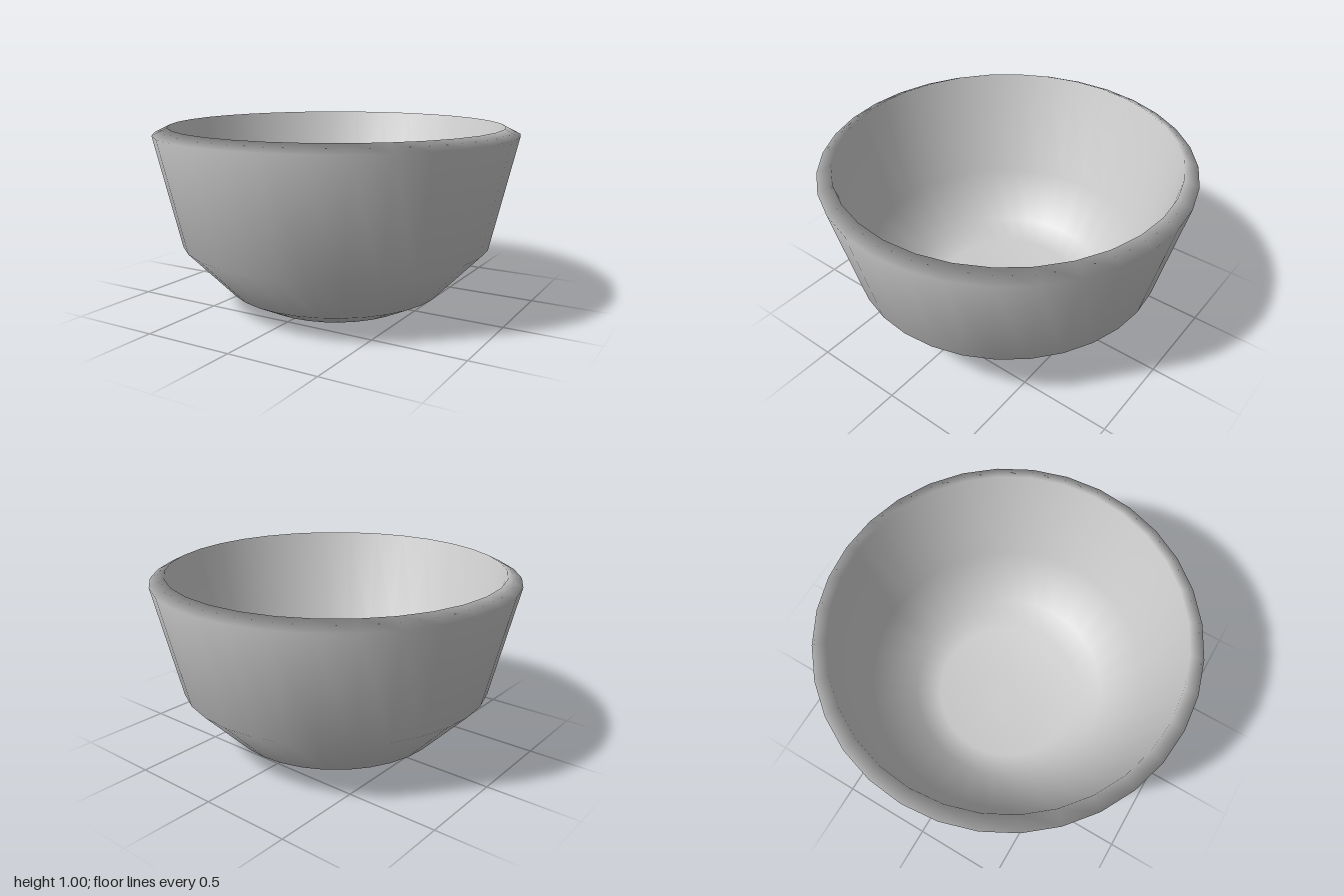
import * as THREE from 'three';

export function createModel() {
  const group = new THREE.Group();
  group.name = 'bowl';
  const material = new THREE.MeshStandardMaterial({ color: 0xcccccc });

  // Closed wall profile [radius, height]: base, outer wall, bevelled rim, inner wall, floor
  const profile = [
    [0, 0], [0.44, 0], [0.6, 0.08], [0.86, 0.35], [1, 0.96],
    [0.92, 1], [0.79, 0.38], [0.56, 0.14], [0.42, 0.07], [0, 0.07],
  ].map(([r, y]) => new THREE.Vector2(r, y));

  const bowl = new THREE.Mesh(new THREE.LatheGeometry(profile, 32), material);
  bowl.name = 'bowlBody';
  group.add(bowl);
  return group;
}
